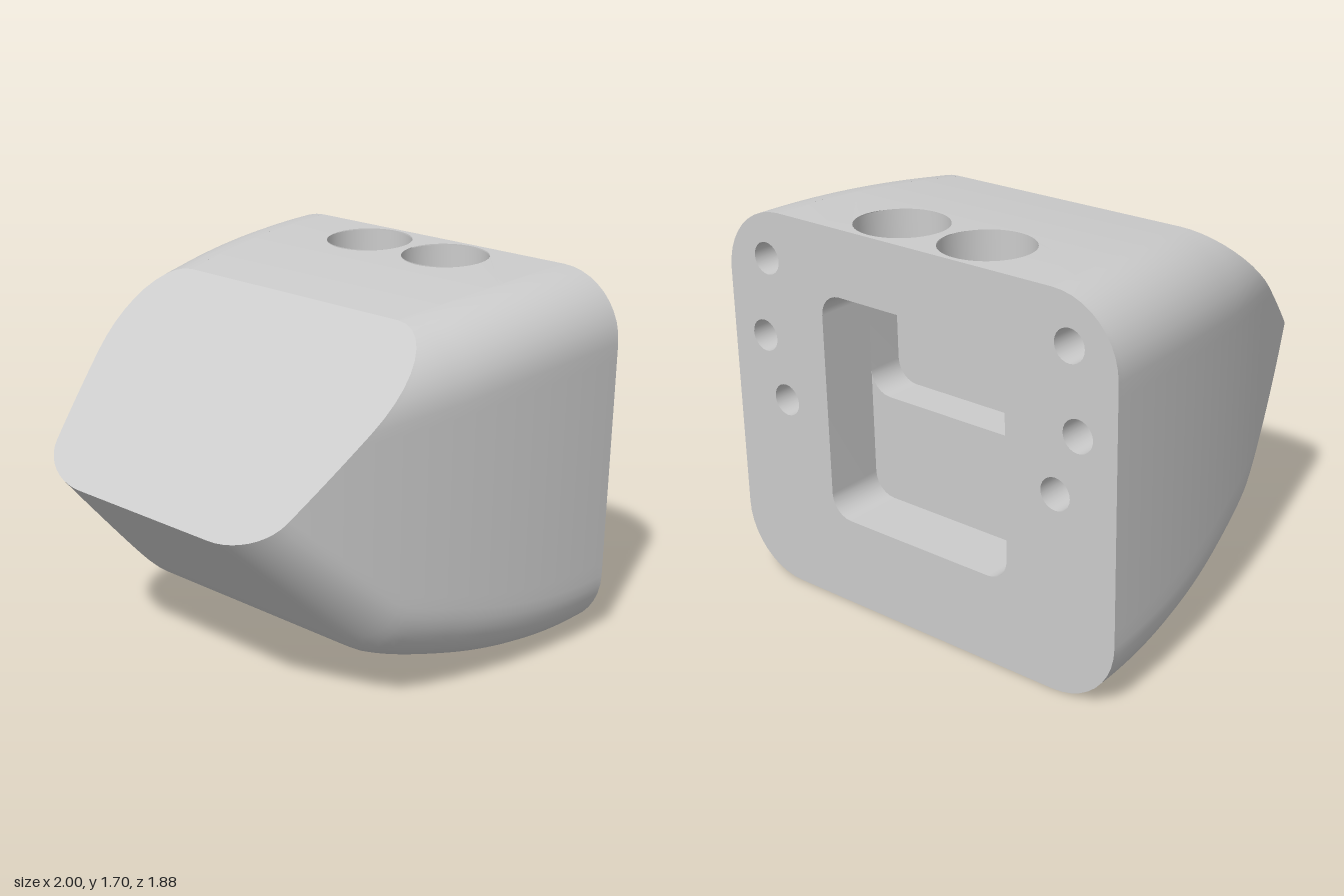
import * as THREE from 'three';

const BACK = -0.94, STEP = -0.67, DEEP = -0.5, CUT = 0.06;
const CEIL = 1.41, BORE_X = 0.22, BORE_Z = -0.72;
const mat = new THREE.MeshStandardMaterial({ color: 0xcccccc, side: THREE.DoubleSide });
const lerp = THREE.MathUtils.lerp;

// Body rules along z: half width, corner radius, top and underside heights
const halfW = z => 1 - 0.013 * (z - BACK) - 0.099 * (z - BACK) ** 2;
const rad = z => 0.3 - 0.06 * Math.max(0, z);
const topY = z => 1.7 - 0.06 * (z - BACK) ** 2;
const botY = z => {
  const a = 0.158 * (z - BACK) ** 2, b = 0.9 - 1.03 * (0.94 - z);
  return (a + b + Math.sqrt((a - b) ** 2 + 0.0008 * (z - BACK))) / 2;
};
// Slanted front plane
const planeZ = y => CUT + (1.64 - y) * 0.88 / 0.74;

// Rounded section at z, from the right end of the top edge round to the left end
function ring(z) {
  const w = halfW(z), r = rad(z), t = topY(z) - r, b = botY(z) + r, half = [];
  for (let i = 0; i <= 10; i++) {
    const a = Math.PI / 2 * (1 - i / 10);
    half.push([w - r + r * Math.cos(a), t + r * Math.sin(a)]);
  }
  for (let i = 1; i < 16; i++) half.push([w, lerp(t, b, i / 16)]);
  for (let i = 0; i <= 10; i++) {
    const a = Math.PI / 2 * i / 10;
    half.push([w - r + r * Math.cos(a), b - r * Math.sin(a)]);
  }
  return [...half, ...half.slice().reverse().map(([x, y]) => [-x, y])];
}

function build(pos, idx) {
  const g = new THREE.BufferGeometry();
  g.setAttribute('position', new THREE.Float32BufferAttribute(pos, 3));
  g.setIndex(idx);
  g.computeVertexNormals();
  return g;
}

// Surface grid from fn(row, column) -> [x, y, z]
function grid(rows, cols, fn) {
  const pos = [], idx = [];
  for (let i = 0; i <= rows; i++) for (let j = 0; j <= cols; j++) {
    pos.push(...fn(i, j));
    if (i < rows && j < cols) {
      const a = i * (cols + 1) + j, b = a + cols + 1;
      idx.push(a, b, a + 1, b, b + 1, a + 1);
    }
  }
  return build(pos, idx);
}

const shapeOf = pts => new THREE.Shape(pts.map(([x, y]) => new THREE.Vector2(x, y)));
const circle = (x, y, r) => new THREE.Path().absarc(x, y, r, 0, Math.PI * 2, true);

// Pocket outline without its ceiling, with rounded corners
function pocket(y0) {
  const r = 0.1, w = 0.475, pts = [];
  const corner = (cx, cy, a0, a1) => {
    for (let i = 0; i <= 6; i++) {
      const a = lerp(a0, a1, i / 6);
      pts.push([cx + r * Math.cos(a), cy + r * Math.sin(a)]);
    }
  };
  const q = Math.PI / 2;
  corner(w - r, CEIL - r, q, 0);
  corner(w - r, y0 + r, 0, -q);
  corner(-w + r, y0 + r, -q, -2 * q);
  corner(-w + r, CEIL - r, 2 * q, q);
  return pts;
}

export function createModel() {
  const model = new THREE.Group();
  const add = (name, geo, parent = model) => {
    const m = new THREE.Mesh(geo, mat);
    m.name = name;
    parent.add(m);
    return m;
  };

  // Tapered sides and underside, each line running forward to the slanted plane
  const cols = ring(BACK).length;
  const ends = Array.from({ length: cols }, (_, j) => {
    let lo = BACK, hi = 1;
    for (let k = 0; k < 30; k++) {
      const m = (lo + hi) / 2;
      if (m < planeZ(ring(m)[j][1])) lo = m; else hi = m;
    }
    return lo;
  });
  add('bodyShell', grid(48, cols - 1, (i, j) => {
    const z = lerp(BACK, ends[j], i / 48);
    return [...ring(z)[j], z];
  }));

  // Slanted front face
  const pos = [0, 1.27, planeZ(1.27)], idx = [];
  ends.forEach((z, j) => {
    pos.push(...ring(z)[j], z);
    idx.push(0, (j + 1) % cols + 1, j + 1);
  });
  add('slantedFace', build(pos, idx));

  // Top: plain front strip, and rear strip pierced by two bores
  const flat = z => halfW(z) - rad(z);
  add('topFront', grid(12, 2, (i, j) => {
    const z = lerp(DEEP, CUT, i / 12);
    return [flat(z) * (j - 1), topY(z), z];
  }));
  const edge = [];
  for (let i = 0; i <= 8; i++) {
    const z = lerp(BACK, DEEP, i / 8);
    edge.push([flat(z), -z]);
  }
  const topShape = shapeOf([...edge, ...edge.slice().reverse().map(([x, y]) => [-x, y])]);
  topShape.holes = [-1, 1].map(s => circle(s * BORE_X, -BORE_Z, 0.197));
  const topGeo = new THREE.ShapeGeometry(topShape, 24).rotateX(-Math.PI / 2);
  const tp = topGeo.attributes.position;
  for (let i = 0; i < tp.count; i++) tp.setY(i, topY(tp.getZ(i)));
  topGeo.computeVertexNormals();
  add('topRear', topGeo);

  // Stepped bores from the top down into the pocket
  for (const s of [-1, 1]) {
    const bore = new THREE.Group();
    bore.name = s > 0 ? 'leftTopBore' : 'rightTopBore';
    bore.position.set(s * BORE_X, 0, BORE_Z);
    add('boreWall', new THREE.CylinderGeometry(0.197, 0.197, 0.194, 48, 1, true), bore).position.y = 1.597;
    add('boreSeat', new THREE.RingGeometry(0.107, 0.197, 48).rotateX(-Math.PI / 2), bore).position.y = 1.5;
    add('throughHole', new THREE.CylinderGeometry(0.107, 0.107, 0.09, 48, 1, true), bore).position.y = 1.455;
    model.add(bore);
  }

  // Back plate with pocket window and six screw holes
  const low = pocket(0.4), high = pocket(0.88);
  const screws = [[0.78, 1.49], [0.82, 1.14], [0.715, 0.87]].flatMap(([x, y]) => [[x, y], [-x, y]]);
  const plate = shapeOf(ring(BACK));
  plate.holes = [shapeOf(low), ...screws.map(([x, y]) => circle(x, y, 0.07))];
  add('backPlate', new THREE.ShapeGeometry(plate, 12).rotateY(Math.PI)).position.z = BACK;
  for (const [x, y] of screws) {
    add('screwHoleWall', new THREE.CylinderGeometry(0.07, 0.07, 0.3, 24, 1, true).rotateX(Math.PI / 2))
      .position.set(x, y, BACK + 0.15);
    add('screwHoleEnd', new THREE.CircleGeometry(0.07, 24).rotateY(Math.PI)).position.set(x, y, BACK + 0.3);
  }

  // Pocket: shallow lower part, deeper upper part, ceiling with the through holes
  const wall = (pts, z0, z1) => grid(1, pts.length - 1, (i, j) => [...pts[j], i ? z0 : z1]);
  add('pocketWall', wall(low, BACK, STEP));
  add('deepPocketWall', wall(high, STEP, DEEP));
  const stepPts = [...low.filter(p => p[1] < 0.6), ...high.filter(p => p[1] < 1.1).reverse()];
  add('pocketStep', new THREE.ShapeGeometry(shapeOf(stepPts)).rotateY(Math.PI)).position.z = STEP;
  add('pocketEnd', new THREE.ShapeGeometry(shapeOf(high)).rotateY(Math.PI)).position.z = DEEP;
  const ceiling = shapeOf([[-0.375, BACK], [0.375, BACK], [0.375, DEEP], [-0.375, DEEP]]);
  ceiling.holes = [-1, 1].map(s => circle(s * BORE_X, BORE_Z, 0.107));
  add('pocketCeiling', new THREE.ShapeGeometry(ceiling, 24).rotateX(Math.PI / 2)).position.y = CEIL;

  return model;
}
